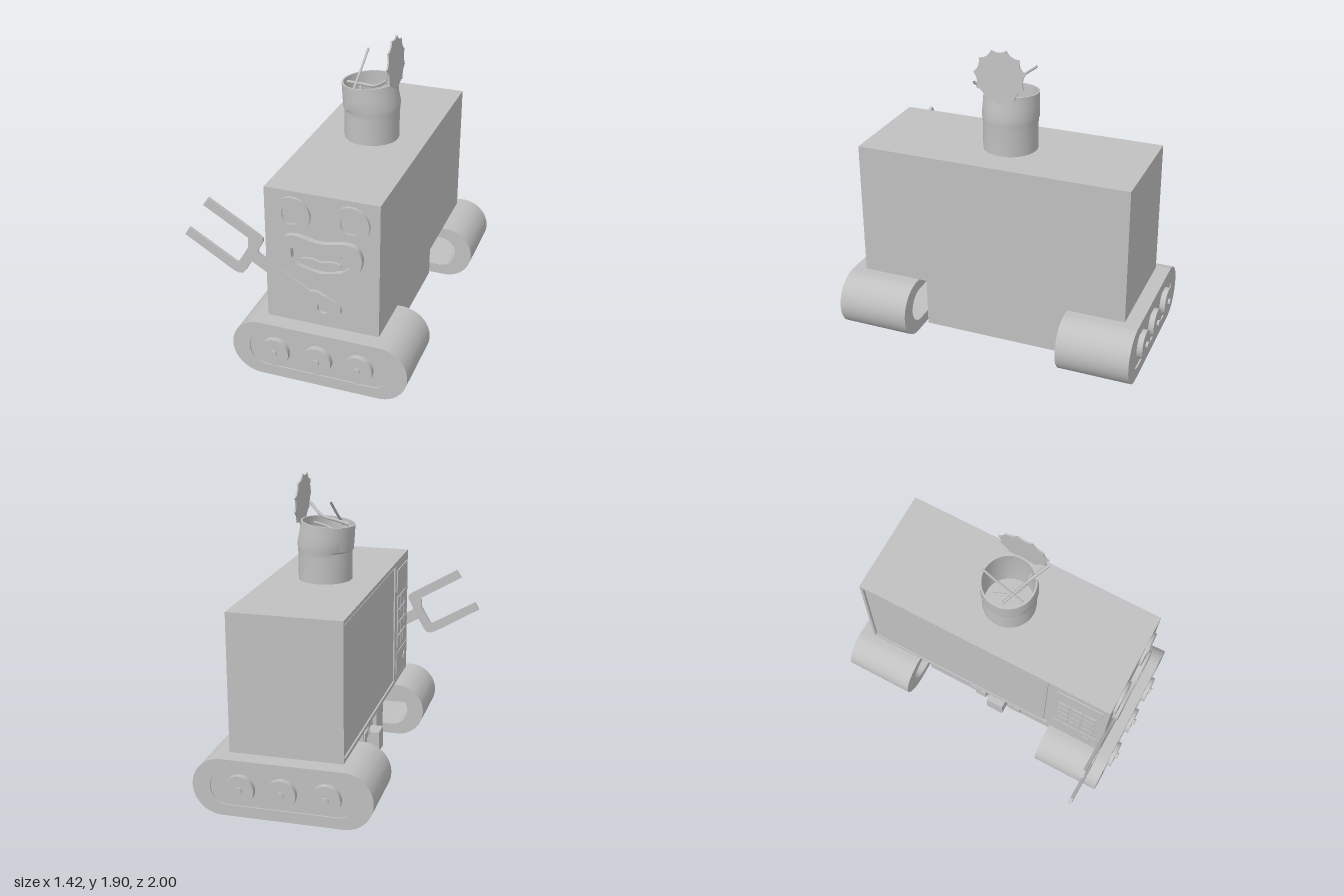
import * as THREE from 'three';
import { toCreasedNormals } from 'three/addons/utils/BufferGeometryUtils.js';

const grey = new THREE.MeshStandardMaterial({ color: 0xc0c0c0, side: THREE.DoubleSide });
grey.name = 'grey metal';

export function createModel() {
  const root = new THREE.Group();
  const add = (name, geo, x = 0, y = 0, z = 0) => {
    const m = new THREE.Mesh(geo, grey);
    m.name = name;
    m.position.set(x, y, z);
    root.add(m);
    return m;
  };
  // box given by its minimum and maximum corners
  const box = (name, x0, x1, y0, y1, z0, z1) =>
    add(name, new THREE.BoxGeometry(x1 - x0, y1 - y0, z1 - z0), (x0 + x1) / 2, (y0 + y1) / 2, (z0 + z1) / 2);
  // outline extruded along z, with smooth rounded sides
  const slab = (name, shape, z0, z1) =>
    add(name, toCreasedNormals(new THREE.ExtrudeGeometry(shape, { depth: z1 - z0, bevelEnabled: false, curveSegments: 24 }), 0.6), 0, 0, z0);
  const poly = pts => new THREE.Shape(pts.map(p => new THREE.Vector2(...p)));
  const blob = pts => poly(new THREE.CatmullRomCurve3(pts.map(p => new THREE.Vector3(p[0], p[1], 0)), true, 'centripetal')
    .getPoints(pts.length * 5).slice(0, -1).map(v => [v.x, v.y]));
  const circle = (x, y, r) => new THREE.Shape().absarc(x, y, r, 0, Math.PI * 2);
  const stadium = (x0, x1, y0, y1) => {
    const r = (y1 - y0) / 2, s = new THREE.Shape();
    s.absarc(x1 - r, y0 + r, r, -Math.PI / 2, Math.PI / 2);
    s.absarc(x0 + r, y0 + r, r, Math.PI / 2, Math.PI * 1.5);
    return s;
  };
  const ring = (outer, ...holes) => { outer.holes.push(...holes); return outer; };
  const tube = (name, pts, r) => add(name, new THREE.TubeGeometry(
    new THREE.CatmullRomCurve3(pts.map(p => new THREE.Vector3(...p))), 20, r, 8));

  // oven body, with a framed door and control panel on its right side
  box('body', -0.185, 0.5, 0.37, 1.235, -0.87, 0.87);
  box('frameTop', -0.2, -0.185, 1.21, 1.235, -0.87, 0.87);
  box('frameBottom', -0.2, -0.185, 0.37, 0.395, -0.87, 0.87);
  box('frameBack', -0.2, -0.185, 0.395, 1.21, -0.87, -0.85);
  box('frameFront', -0.2, -0.185, 0.395, 1.21, 0.85, 0.87);
  box('door', -0.195, -0.185, 0.405, 1.2, -0.84, 0.45);
  box('controlPanel', -0.199, -0.185, 0.395, 1.21, 0.475, 0.85);
  box('display', -0.206, -0.195, 1.02, 1.17, 0.52, 0.83);
  for (let r = 0; r < 4; r++) for (let c = 0; c < 3; c++) {
    const y = 0.62 + r * 0.093, z = 0.54 + c * 0.09;
    box('key', -0.206, -0.195, y, y + 0.08, z, z + 0.077);
  }
  box('lowerPanel', -0.204, -0.195, 0.43, 0.58, 0.52, 0.83);
  add('knob', new THREE.CylinderGeometry(0.035, 0.035, 0.01, 24), -0.205, 0.49, 0.76).rotation.z = Math.PI / 2;

  // chassis between the tracks, with exposed workings on its right side
  box('chassis', -0.12, 0.42, 0, 0.37, -0.48, 0.48);
  box('circuitBlock', -0.2, -0.12, 0.06, 0.2, 0.02, 0.14);
  for (const [y0, y1, z0, z1] of [[0.3, 0.32, -0.22, 0.26], [0.12, 0.3, -0.18, -0.16], [0.12, 0.14, -0.16, -0.06],
    [0.04, 0.12, -0.1, -0.02], [0.2, 0.3, -0.04, -0.02], [0.2, 0.25, -0.14, -0.06], [0.14, 0.3, 0.18, 0.2], [0.08, 0.14, 0.16, 0.25]])
    box('circuitPart', -0.145, -0.12, y0, y1, z0, z1);

  // hollow tracks, closed on the outside by a plate carrying three wheels
  for (const s of [1, -1]) {
    const span = (name, shape, a, b) => slab(name, shape, Math.min(s * a, s * b), Math.max(s * a, s * b));
    span('track', ring(stadium(-0.4, 0.705, 0, 0.36), stadium(-0.29, 0.595, 0.07, 0.29)), 0.5, 0.96);
    span('trackPlate', stadium(-0.29, 0.595, 0.07, 0.29), 0.92, 0.95);
    for (const x of [-0.12, 0.15, 0.407]) {
      span('wheel', circle(x, 0.183, 0.09), 0.95, 0.985);
      span('axle', circle(x, 0.183, 0.02), 0.985, 1.0);
    }
  }

  // eyes
  for (const x of [-0.027, 0.33]) {
    slab('eye', ring(circle(x, 1.09, 0.112), circle(x, 1.09, 0.06)), 0.87, 0.888);
    slab('pupil', circle(x, 1.09, 0.06), 0.87, 0.876);
  }

  // lips, teeth and tongue
  slab('lips', ring(
    blob([[-0.1, 0.87], [-0.075, 0.945], [-0.02, 0.97], [0.15, 0.945], [0.32, 0.97], [0.38, 0.945],
      [0.405, 0.87], [0.36, 0.765], [0.15, 0.72], [-0.06, 0.765]]),
    poly([[-0.03, 0.88], [0, 0.893], [0.15, 0.868], [0.3, 0.893], [0.335, 0.88], [0.33, 0.82], [0.28, 0.775],
      [0.15, 0.75], [0.02, 0.775], [-0.025, 0.82]])), 0.87, 0.905);
  const tooth = (x, y, r) => slab('tooth', new THREE.Shape().absarc(x, y, r, Math.PI, Math.PI * 2), 0.87, 0.89);
  tooth(0.065, 0.878, 0.033);
  tooth(0.15, 0.868, 0.03);
  tooth(0.24, 0.878, 0.033);
  slab('tongue', blob([[0.02, 0.81], [0.08, 0.825], [0.15, 0.812], [0.22, 0.825], [0.27, 0.81], [0.24, 0.772], [0.15, 0.757], [0.06, 0.772]]), 0.87, 0.885);

  // fork arm fixed to the front face
  slab('forkArm', ring(poly([[0.08, 0.608], [0.12, 0.613], [0.24, 0.563], [0.27, 0.53], [0.272, 0.495], [0.225, 0.42],
    [0.195, 0.402], [0.15, 0.41], [0.09, 0.44], [0.055, 0.48], [0.042, 0.543], [-0.255, 0.718], [-0.285, 0.735], [-0.325, 0.665],
    [-0.345, 0.642], [-0.37, 0.639], [-0.405, 0.65], [-0.712, 0.834], [-0.683, 0.884], [-0.385, 0.71], [-0.367, 0.717], [-0.305, 0.823],
    [-0.305, 0.85], [-0.581, 1.055], [-0.547, 1.106], [-0.235, 0.922], [-0.21, 0.9], [-0.208, 0.88], [-0.245, 0.81], [-0.235, 0.793]]
    .map(([x, y]) => (x === -0.305 && y === 0.85 ? [-0.3, 0.89] : [x, y]))), circle(0.16, 0.505, 0.035)), 0.872, 0.892);

  // dented tin can: rings of [height, centre x, radius, slope along x]
  const N = 40;
  const loft = rings => {
    const pos = [], idx = [];
    rings.forEach(([y, cx, r, slope], i) => {
      for (let j = 0; j <= N; j++) {
        const a = j / N * Math.PI * 2, dx = r * Math.cos(a);
        pos.push(cx + dx, y + slope * dx, r * Math.sin(a));
        if (i && j < N) {
          const p = (i - 1) * (N + 1) + j, q = p + N + 1;
          idx.push(p, q, p + 1, p + 1, q, q + 1);
        }
      }
    });
    const g = new THREE.BufferGeometry();
    g.setAttribute('position', new THREE.Float32BufferAttribute(pos, 3));
    g.setIndex(idx);
    return toCreasedNormals(g, 0.5);
  };
  add('can', loft([[1.235, 0.15, 0.17, 0], [1.4, 0.15, 0.17, 0], [1.425, 0.152, 0.171, 0.03], [1.45, 0.148, 0.177, 0.13],
    [1.52, 0.138, 0.173, 0.1], [1.597, 0.131, 0.171, 0.08], [1.597, 0.131, 0.16, 0.08], [1.45, 0.148, 0.163, 0.1], [1.235, 0.15, 0.158, 0]]));

  // jagged can lid standing on the rim
  const lidShape = new THREE.Shape(), teeth = 11, R = 0.167;
  const at = (k, r) => [r * Math.cos(k / teeth * Math.PI * 2 + 0.2), r * Math.sin(k / teeth * Math.PI * 2 + 0.2)];
  lidShape.moveTo(...at(0, R));
  for (let k = 0; k < teeth; k++) lidShape.quadraticCurveTo(...at(k + 0.5, R * 0.79), ...at(k + 1, R));
  const lid = add('lid', new THREE.ExtrudeGeometry(lidShape, { depth: 0.01, bevelEnabled: false, curveSegments: 6 }), 0.293, 1.733, 0.01);
  lid.rotation.set(0, Math.PI / 2, 0.07, 'ZYX');

  // scraps poking out of the can
  tube('straightStick', [[0.073, 1.745, -0.14], [0.07, 1.65, -0.01], [0.068, 1.56, 0.13]], 0.008);
  tube('bentStick', [[0.3, 1.68, 0.175], [0.2, 1.61, 0.11], [0.1, 1.595, 0.07], [0, 1.58, 0.03]], 0.01);
  tube('curvedScrap', [[0.05, 1.52, -0.06], [0.1, 1.53, 0.05], [0.17, 1.55, 0.09], [0.25, 1.57, 0.09]], 0.008);

  return root;
}
